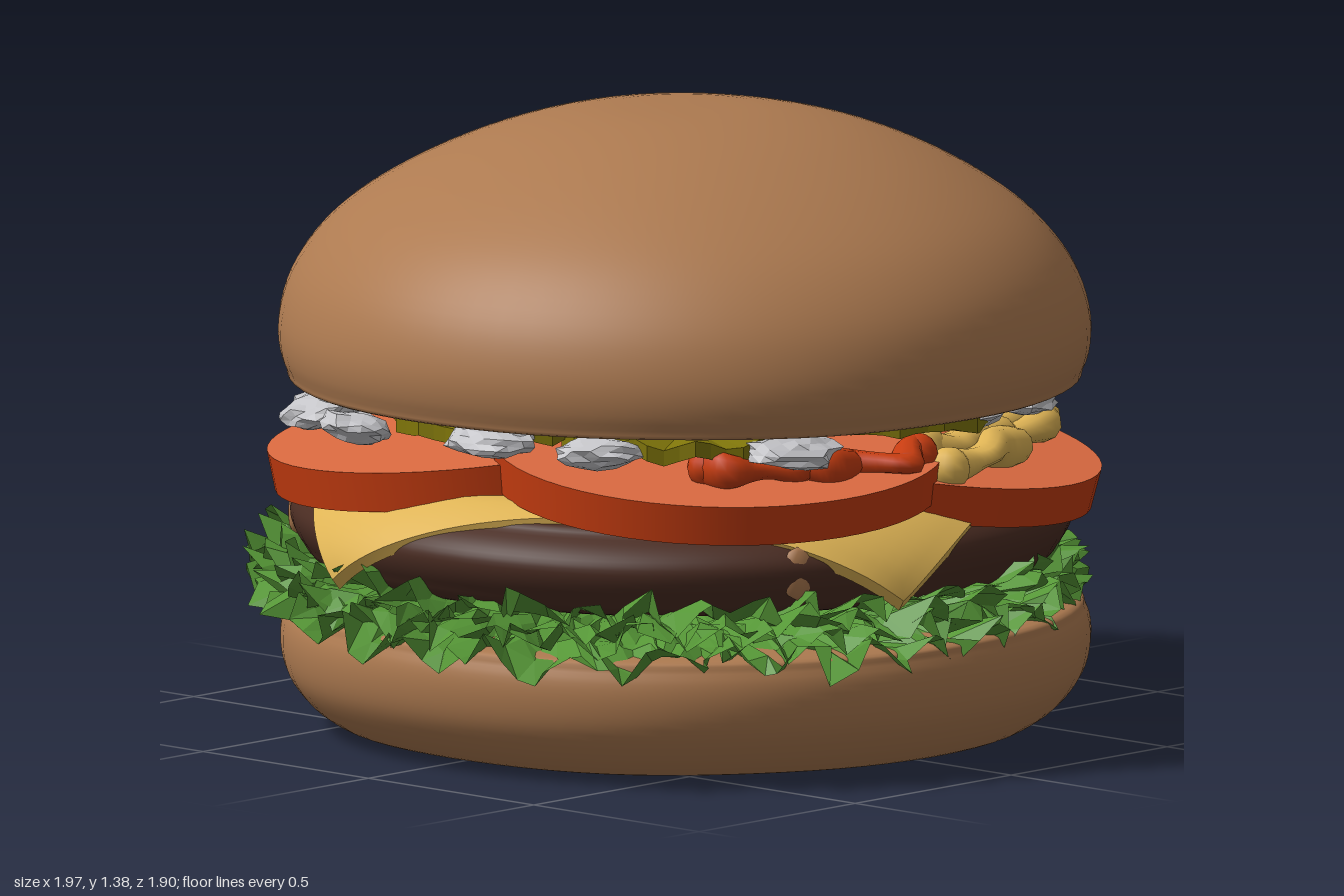
import * as THREE from 'three';
import { mergeVertices } from 'three/addons/utils/BufferGeometryUtils.js';

export function createModel() {
  const model = new THREE.Group();
  model.name = 'cheeseburger';

  const paint = (name, color, extra = {}) => {
    const m = new THREE.MeshStandardMaterial({ color, ...extra });
    m.name = name;
    return m;
  };
  const flat = { flatShading: true };
  const bun = paint('toasted bun', 0xad7a50);
  const meat = paint('grilled meat', 0x4a2c22);
  const cheese = paint('melted cheese', 0xdfb455);
  const skin = paint('tomato skin', 0xc63c10);
  const flesh = paint('tomato flesh', 0xdb6a40);
  const lettuce = paint('lettuce green', 0x559636, { flatShading: true, side: THREE.DoubleSide });
  const onion = paint('onion grey', 0xc4c4c8, flat);
  const pickle = paint('pickle olive', 0x80760a, flat);

  let seed = 7;
  const rand = () => (seed = (seed * 16807) % 2147483647) / 2147483647;
  const jitter = (a) => (rand() * 2 - 1) * a;
  const rad = THREE.MathUtils.degToRad;

  const add = (name, geometry, material, parent = model) => {
    const mesh = new THREE.Mesh(geometry, material);
    mesh.name = name;
    parent.add(mesh);
    return mesh;
  };
  const group = (name) => {
    const g = new THREE.Group();
    g.name = name;
    model.add(g);
    return g;
  };

  // Move every vertex by a rule, then rebuild smooth normals
  const reshape = (geometry, rule) => {
    const p = geometry.attributes.position;
    const v = new THREE.Vector3();
    for (let i = 0; i < p.count; i++) {
      v.fromBufferAttribute(p, i);
      rule(v);
      p.setXYZ(i, v.x, v.y, v.z);
    }
    geometry.computeVertexNormals();
    return geometry;
  };
  const weld = (geometry) => {
    geometry.deleteAttribute('uv');
    geometry.deleteAttribute('normal');
    return mergeVertices(geometry);
  };

  // Round, slightly uneven body from a bottom-to-top profile
  const roundBody = (profile, wobble, phase) => {
    const curve = new THREE.SplineCurve(profile.map(([x, y]) => new THREE.Vector2(x, y)));
    const pts = curve.getPoints(48).map((p) => new THREE.Vector2(Math.max(p.x, 0), p.y));
    return reshape(weld(new THREE.LatheGeometry(pts, 72)), (v) => {
      const a = Math.atan2(v.z, v.x);
      const k = 1 + wobble * (Math.sin(3 * a + phase) + 0.6 * Math.sin(5 * a + 2 * phase + v.y * 6));
      v.x *= k;
      v.z *= k;
      v.y += wobble * 0.5 * Math.sin(v.x * 7 + phase) * Math.cos(v.z * 6);
    });
  };

  // Buns
  const bottom = add('bottomBun', roundBody([
    [0, 0.012], [0.4, 0.012], [0.7, 0.015], [0.8, 0.045], [0.87, 0.12],
    [0.892, 0.2], [0.88, 0.27], [0.83, 0.3], [0.5, 0.305], [0, 0.305]], 0.004, 1), bun);
  const top = add('topBun', roundBody([
    [0, 0.785], [0.5, 0.785], [0.83, 0.785], [0.878, 0.81], [0.895, 0.9], [0.868, 1.01], [0.8, 1.11],
    [0.7, 1.195], [0.55, 1.28], [0.38, 1.345], [0.2, 1.38], [0, 1.387]], 0.004, 2.4), bun);
  bottom.position.z = top.position.z = 0.015;

  // Lettuce: crumpled ruffled sheets with an uneven outline
  const reach = [0.96, 0.9, 0.87, 0.92, 0.95, 0.98, 0.96, 0.91, 0.97, 0.92, 0.91, 0.94];
  const outline = (a) => {
    const t = ((a / (2 * Math.PI)) % 1) * 12;
    const i = Math.floor(t);
    return THREE.MathUtils.lerp(reach[i % 12], reach[(i + 1) % 12], t - i);
  };
  const leafSheet = (yIn, yRim, shrink, frills, phase) => {
    const n = 150, rings = 5, pos = [], idx = [];
    for (let j = 0; j <= rings; j++) {
      const t = j / rings;
      for (let i = 0; i < n; i++) {
        const a = (i / n) * 2 * Math.PI;
        const wave = Math.sin(frills * a + phase + 2 * Math.sin(3 * a));
        const r = Math.min(0.995, THREE.MathUtils.lerp(0.6, outline(a) - shrink, t) + t * (0.015 * wave + jitter(0.03)));
        const b = a + t * jitter(0.028);
        const y = THREE.MathUtils.lerp(yIn, yRim, t * t) + t * (0.03 * wave + jitter(0.032));
        pos.push(r * Math.cos(b), y, r * Math.sin(b));
        if (j < rings) {
          const p = j * n + i, q = j * n + ((i + 1) % n);
          idx.push(p, p + n, q, q, p + n, q + n);
        }
      }
    }
    const g = new THREE.BufferGeometry();
    g.setAttribute('position', new THREE.Float32BufferAttribute(pos, 3));
    g.setIndex(idx);
    g.computeVertexNormals();
    return g;
  };
  const leaves = group('lettuce');
  [[0.33, 0.3, 0, 31], [0.35, 0.345, 0.01, 37], [0.36, 0.375, 0.02, 29], [0.37, 0.41, 0.05, 41]]
    .forEach(([yIn, yRim, s, f], i) => add('lettuceLeaf' + (i + 1), leafSheet(yIn, yRim, s, f, i * 1.7), lettuce, leaves));

  // Patty with a few lighter flecks
  add('patty', roundBody([
    [0, 0.37], [0.5, 0.37], [0.77, 0.38], [0.84, 0.43], [0.86, 0.5],
    [0.8, 0.555], [0.68, 0.585], [0, 0.59]], 0.005, 0.6), meat);
  const flecks = group('pattyFlecks');
  [[-29, 0.49, 0.07], [-45, 0.46, 0.035], [119, 0.48, 0.06], [230, 0.47, 0.05], [250, 0.5, 0.035], [300, 0.48, 0.05]]
    .forEach(([deg, y, h]) => {
      const f = add('fleck', new THREE.IcosahedronGeometry(1, 1), bun, flecks);
      f.scale.set(0.018, h, 0.04);
      f.position.set(0.847 * Math.cos(rad(deg)), y, 0.847 * Math.sin(rad(deg)));
      f.rotation.y = -rad(deg);
    });

  // Cheese: a square slice whose corners drape over the patty
  const slice = add('cheeseSlice', reshape(new THREE.BoxGeometry(1.56, 0.024, 1.56, 36, 1, 36), (v) => {
    const r = Math.hypot(v.x, v.z);
    const t = Math.min(Math.max((r - 0.72) / 0.38, 0), 1);
    const a = Math.atan2(v.z, v.x);
    if (t > 0) {
      const out = 0.72 + 0.18 * Math.sin(t * Math.PI / 2) + v.y * t * 0.8;
      v.x = out * Math.cos(a);
      v.z = out * Math.sin(a);
    }
    v.y += 0.6 - 0.2 * Math.pow(t, 1.3);
  }), cheese);
  slice.rotation.y = rad(31);

  // Tomato slices, tilted outward: x, y, z, radius, drop at the outer rim
  const tomatoes = group('tomatoSlices');
  [[0.22, 0.64, 0.38, 0.5, 0.09], [-0.26, 0.665, 0.36, 0.5, 0.06],
    [0.25, 0.68, -0.33, 0.49, 0.0], [-0.33, 0.645, -0.25, 0.5, 0.06]].forEach(([x, y, z, r, drop]) => {
    const t = add('tomatoSlice', new THREE.CylinderGeometry(r, r * 0.985, 0.09, 56), [skin, flesh, flesh], tomatoes);
    t.position.set(x, y, z);
    const axis = new THREE.Vector3(z, 0, -x).normalize();
    t.quaternion.setFromAxisAngle(axis, Math.atan(drop / r));
  });

  // Sauces: lumpy flattened ribbons following the rim
  const ribbon = (name, material, from, to, radius, y, thick) => {
    const pts = [];
    for (let i = 0; i <= 12; i++) {
      const a = rad(THREE.MathUtils.lerp(from, to, i / 12));
      const r = radius + jitter(0.03);
      pts.push(new THREE.Vector3(r * Math.cos(a), y + jitter(0.012), r * Math.sin(a)));
    }
    const curve = new THREE.CatmullRomCurve3(pts);
    const tube = weld(new THREE.TubeGeometry(curve, 60, thick, 10));
    add(name, reshape(tube, (v) => {
      const a = Math.atan2(v.z, v.x);
      v.y = y + (v.y - y) * (0.85 + 0.3 * Math.sin(a * 17));
      const k = 1 + 0.02 * Math.sin(a * 23);
      v.x *= k;
      v.z *= k;
    }), material);
    [pts[0], pts[12]].forEach((p) => {
      const end = add(name + 'End', new THREE.SphereGeometry(thick * 1.15, 12, 8), material);
      end.position.copy(p);
    });
  };
  ribbon('redSauceFront', skin, 92, 132, 0.76, 0.7, 0.04);
  ribbon('redSauceSide', skin, -34, 6, 0.77, 0.63, 0.035);
  ribbon('yellowSauce', cheese, 16, 88, 0.78, 0.675, 0.042);
  ribbon('yellowSauceInner', cheese, 18, 86, 0.7, 0.69, 0.045);

  // Pickles: thin crinkle-edged discs
  const pickles = group('pickles');
  [[40, 0.5], [85, 0.53], [135, 0.53], [185, 0.48], [240, 0.45], [300, 0.45], [350, 0.48]].forEach(([deg, r], i) => {
    const disc = new THREE.CylinderGeometry(0.27, 0.27, 0.035, 48, 1);
    const p = add('pickle', reshape(disc, (v) => {
      const a = Math.atan2(v.z, v.x);
      const k = 1 + 0.03 * Math.cos(16 * a);
      v.x *= k;
      v.z *= k;
      v.y += 0.012 * Math.sin(v.x * 45);
    }), pickle, pickles);
    p.position.set(r * Math.cos(rad(deg)), 0.745 + (i % 2) * 0.012, r * Math.sin(rad(deg)));
    p.rotation.set(jitter(0.04), i, jitter(0.04));
  });

  // Onion: crumpled chunks poking out under the top bun: angle, radius, y, length
  const onions = group('onions');
  [[170, 0.76, 0.75, 0.11], [118, 0.76, 0.74, 0.11], [76, 0.72, 0.765, 0.1], [52, 0.76, 0.75, 0.12], [25, 0.77, 0.76, 0.14],
    [2, 0.78, 0.7, 0.11], [-40, 0.8, 0.745, 0.13], [-75, 0.74, 0.745, 0.11], [226, 0.78, 0.71, 0.16],
    [211, 0.83, 0.74, 0.09], [200, 0.8, 0.73, 0.08], [150, 0.78, 0.74, 0.1]].forEach(([deg, r, y, len]) => {
    const chunk = reshape(weld(new THREE.IcosahedronGeometry(1, 2)), (v) => v.multiplyScalar(1 + jitter(0.16)));
    const o = add('onionPiece', chunk, onion, onions);
    o.scale.set(0.075, 0.034, len);
    o.position.set(r * Math.cos(rad(deg)), y, r * Math.sin(rad(deg)));
    o.rotation.set(jitter(0.12), -rad(deg), jitter(0.2));
  });

  return model;
}
